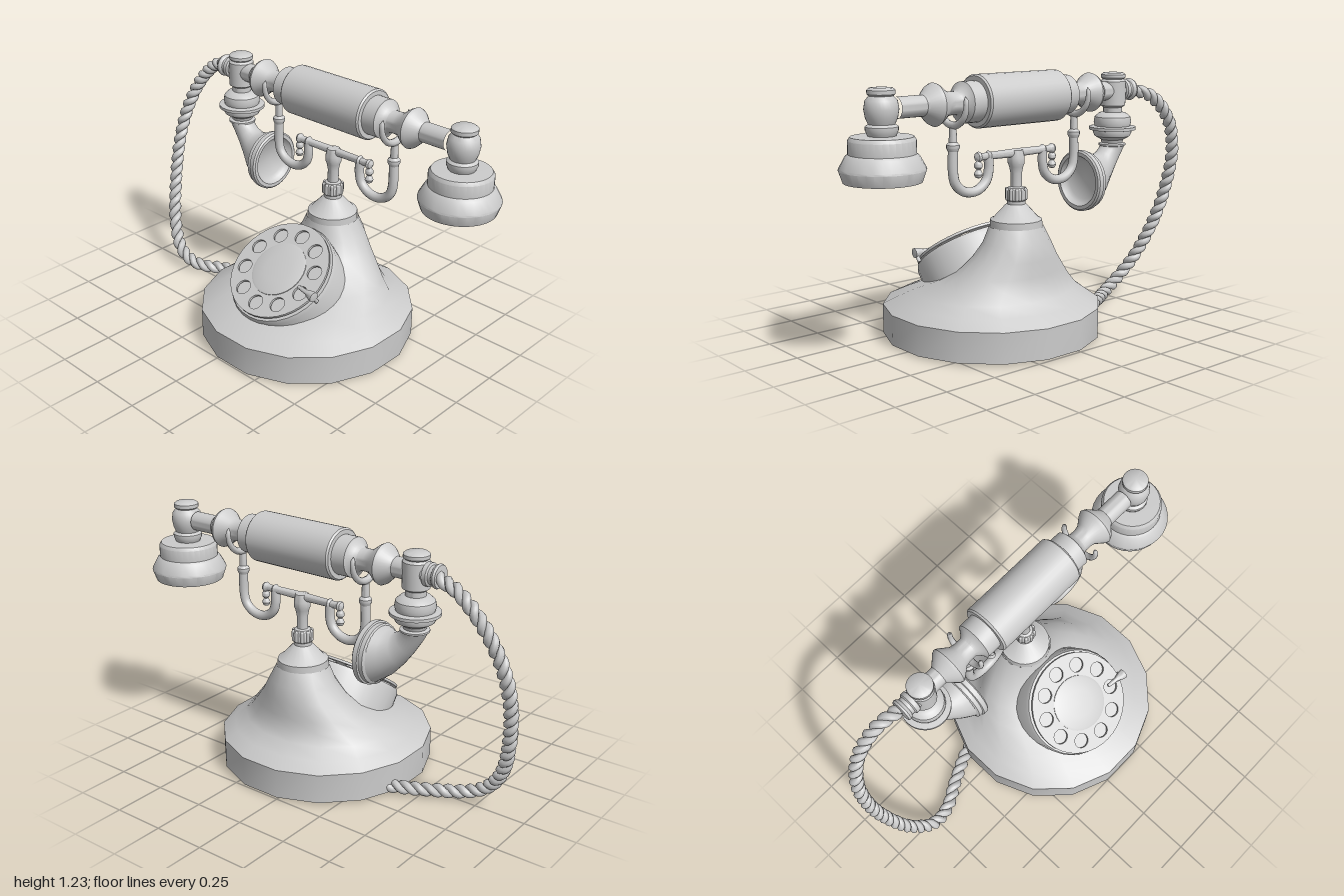
import * as THREE from 'three';
import { toCreasedNormals } from 'three/addons/utils/BufferGeometryUtils.js';

const V = (x, y, z) => new THREE.Vector3(x, y, z);
const mat = new THREE.MeshStandardMaterial({ color: 0xcccccc });
const CX = 0.1, CZ = -0.175, AXIS_Y = 1.115; // column centre and handset height

function add(parent, name, geo, x = 0, y = 0, z = 0) {
  const m = new THREE.Mesh(geo, mat);
  m.name = name;
  m.position.set(x, y, z);
  parent.add(m);
  return m;
}

// Turned part from [radius, height] pairs, with crisp steps
const turned = (pts, seg = 32) =>
  toCreasedNormals(new THREE.LatheGeometry(pts.map(p => new THREE.Vector2(p[0], p[1])), seg), 0.6);

// Same, lying along x
const turnedX = (pts, seg) => turned(pts, seg).rotateZ(-Math.PI / 2);

// Skin over closed rings of equal point count
function loft(rings) {
  const n = rings[0].length, idx = [];
  for (let i = 0; i < rings.length - 1; i++)
    for (let j = 0; j < n; j++) {
      const a = i * n + j, b = i * n + (j + 1) % n;
      idx.push(a, b, a + n, b, b + n, a + n);
    }
  const g = new THREE.BufferGeometry().setFromPoints(rings.flat());
  g.setIndex(idx);
  g.computeVertexNormals();
  return g;
}

const ring = (n, fn, start = 0) =>
  Array.from({ length: n }, (_, j) => fn(start + j / n * Math.PI * 2));

function buildBase(g) {
  const n = 16, half = Math.PI / n, k = 1 / Math.cos(half);
  add(g, 'baseDrum', toCreasedNormals(new THREE.CylinderGeometry(0.5 * k, 0.5 * k, 0.14, n).rotateY(half), 0.6), CX, 0.08, 0);
  // [height, half width, front z, back z]
  const rows = [[0.15, 0.5, 0.5, -0.5], [0.19, 0.445, 0.41, -0.435], [0.23, 0.39, 0.31, -0.37], [0.28, 0.325, 0.16, -0.345],
    [0.33, 0.27, 0.06, -0.335], [0.4, 0.205, 0, -0.331], [0.47, 0.16, -0.04, -0.32], [0.54, 0.122, -0.055, -0.295]];
  add(g, 'bellBody', loft(rows.map(([y, w, f, b]) => ring(n,
    a => V(CX + w * k * Math.sin(a), y, (f + b) / 2 + (f - b) / 2 * k * Math.cos(a)), half))));
}

function buildDial(g) {
  const dial = new THREE.Group();
  dial.name = 'dial';
  dial.position.set(CX, 0.37, 0.175);
  dial.rotation.x = -0.955;
  g.add(dial);
  const upZ = geo => geo.rotateX(Math.PI / 2);
  add(dial, 'dialHousing', upZ(turned([[0.26, -0.25], [0.265, -0.02], [0.258, 0], [0, 0]])));
  // Finger wheel with ten holes
  const plate = new THREE.Shape().absarc(0, 0, 0.25, 0, Math.PI * 2);
  for (let i = 0; i < 10; i++) {
    const a = i * Math.PI / 5;
    plate.holes.push(new THREE.Path().absarc(0.188 * Math.sin(a), 0.188 * Math.cos(a), 0.036, 0, Math.PI * 2, true));
  }
  add(dial, 'fingerWheel', toCreasedNormals(
    new THREE.ExtrudeGeometry(plate, { depth: 0.012, bevelEnabled: false, curveSegments: 20 }), 0.6), 0, 0, 0.012);
  add(dial, 'dialCentre', upZ(turned([[0.137, 0], [0.137, 0.028], [0.125, 0.032], [0.07, 0.038], [0, 0.04]])));
  const stop = add(dial, 'fingerStop', turnedX([[0, -0.06], [0.009, -0.055], [0.012, 0], [0.022, 0.03], [0.024, 0.05], [0, 0.055]], 12), 0.22, -0.045, 0.042);
  stop.rotation.z = -0.12;
  add(dial, 'fingerStopPost', upZ(new THREE.CylinderGeometry(0.01, 0.01, 0.05, 10)), 0.26, -0.05, 0.02);
}

function buildCradle(g) {
  add(g, 'column', turned([[0.12, 0.53], [0.118, 0.57], [0.105, 0.575], [0.05, 0.635], [0.042, 0.64], [0.042, 0.655], [0.046, 0.66],
    [0.046, 0.7], [0.038, 0.715], [0.026, 0.72], [0.026, 0.78], [0.032, 0.81], [0.038, 0.825], [0.038, 0.85], [0.03, 0.885], [0, 0.89]], 24), CX, 0, CZ);
  // Raised flutes around the column
  for (let i = 0; i < 10; i++) {
    const a = i * Math.PI / 5;
    add(g, 'columnFlute', new THREE.CapsuleGeometry(0.009, 0.04, 3, 8), CX + 0.043 * Math.sin(a), 0.685, CZ + 0.043 * Math.cos(a));
  }
  const side = [[0.02, -0.225], [0.024, -0.215], [0.016, -0.2], [0.016, -0.17], [0.024, -0.16], [0.017, -0.145], [0.019, -0.03]];
  add(g, 'crossbar', turnedX([[0, -0.235], ...side, ...side.map(([r, x]) => [r, -x]).reverse(), [0, 0.235]], 16), CX, 0.872, CZ);

  for (const s of [-1, 1]) {
    const X = d => CX + s * d;
    // Hanging finial below each end of the bar
    add(g, 'finial', turned([[0, 0.778], [0.014, 0.783], [0.02, 0.797], [0.014, 0.811], [0.009, 0.817],
      [0.018, 0.827], [0.018, 0.842], [0.011, 0.852], [0.011, 0.872]], 14), X(0.218), 0, CZ);
    // U-shaped arm
    const arm = [V(X(0.16), 0.865, CZ), V(X(0.16), 0.81, CZ)];
    for (let i = 1; i <= 6; i++) {
      const a = i * Math.PI / 6;
      arm.push(V(X(0.258 - 0.098 * Math.cos(a)), 0.81 - 0.088 * Math.sin(a), CZ));
    }
    arm.push(V(X(0.356), 0.93, CZ));
    add(g, 'cradleArm', new THREE.TubeGeometry(new THREE.CatmullRomCurve3(arm), 40, 0.022, 12));
    add(g, 'cradlePost', turned([[0.022, 0.91], [0.029, 0.925], [0.029, 0.938], [0.018, 0.95], [0.016, 1.01], [0, 1.03]], 14), X(0.356), 0, CZ);
    // Tapering fork that holds the handset
    const rings = [];
    for (let i = 0; i <= 20; i++) {
      const t = i / 10 - 1, a = t * 1.95, r = i % 20 ? 0.018 - 0.008 * Math.abs(t) : 0.001;
      rings.push(ring(8, b => {
        const q = 0.094 + r * Math.cos(b);
        return V(X(0.356) - r * Math.sin(b), AXIS_Y - q * Math.cos(a), CZ + q * Math.sin(a));
      }));
    }
    add(g, 'cradleFork', loft(rings)).material = forkMat;
  }
}
const forkMat = new THREE.MeshStandardMaterial({ color: 0xcccccc, side: THREE.DoubleSide });

function buildHandset(g) {
  // Symmetric grip profile: [radius, distance from the middle]
  const half = [[0.045, 0.645], [0.045, 0.515], [0.052, 0.505], [0.085, 0.47], [0.092, 0.455], [0.085, 0.44], [0.055, 0.4], [0.05, 0.375],
    [0.05, 0.34], [0.06, 0.325], [0.08, 0.31], [0.09, 0.305], [0.09, 0.236], [0.11, 0.236], [0.117, 0.228]];
  add(g, 'grip', turnedX([...half.map(([r, d]) => [r, -d]), ...half.slice().reverse()]), CX, AXIS_Y, CZ);

  // Earpiece side
  add(g, 'earJoint', turned([[0.055, 1], [0.062, 1.015], [0.068, 1.03], [0.068, 1.045], [0.055, 1.055], [0.066, 1.08], [0.072, 1.115],
    [0.066, 1.15], [0.05, 1.168], [0.058, 1.175], [0.058, 1.192], [0.048, 1.2], [0, 1.205]]), 0.815, 0, CZ);
  add(g, 'earpiece', turned([[0, 0.852], [0.06, 0.848], [0.105, 0.84], [0.11, 0.85], [0.125, 0.85], [0.135, 0.82], [0.163, 0.82], [0.18, 0.87],
    [0.178, 0.878], [0.152, 0.925], [0.14, 0.935], [0.14, 0.99], [0.13, 1.005], [0, 1.01]]), 0.815, 0, CZ);

  // Mouthpiece side
  add(g, 'mouthJoint', turned([[0.04, 0.84], [0.065, 0.852], [0.065, 0.86], [0.05, 0.865], [0.055, 0.88], [0.085, 0.897], [0.092, 0.912], [0.092, 0.925],
    [0.112, 0.928], [0.112, 0.942], [0.085, 0.946], [0.09, 0.965], [0.085, 0.99], [0.065, 1.008], [0.045, 1.012], [0.045, 1.035], [0.06, 1.045],
    [0.06, 1.16], [0.05, 1.17], [0.058, 1.177], [0.058, 1.192], [0.048, 1.2], [0, 1.205]]), -0.515, 0, CZ);
  // Flaring elbow: lower and upper outline of each section
  const horn = [[-0.575, 0.85, -0.455, 0.85], [-0.55, 0.805, -0.448, 0.843], [-0.51, 0.745, -0.43, 0.828], [-0.46, 0.68, -0.405, 0.816],
    [-0.4, 0.617, -0.372, 0.82], [-0.335, 0.572, -0.335, 0.832]];
  add(g, 'mouthHorn', loft(horn.map(([x0, y0, x1, y1]) => {
    const dx = (x1 - x0) / 2, dy = (y1 - y0) / 2, r = Math.hypot(dx, dy);
    return ring(28, a => V(x0 + dx + dx * Math.cos(a), y0 + dy + dy * Math.cos(a), CZ + r * Math.sin(a)));
  })));
  add(g, 'mouthRim', turnedX([[0.125, -0.345], [0.137, -0.338], [0.137, -0.318], [0.145, -0.315], [0.145, -0.292], [0.137, -0.285],
    [0.12, -0.285], [0.108, -0.305], [0.09, -0.318], [0, -0.325]]), 0, 0.7, CZ);
  add(g, 'cordSocket', turnedX([[0, -0.64], [0.05, -0.635], [0.054, -0.625], [0.05, -0.615], [0.043, -0.61], [0.043, -0.595],
    [0.052, -0.59], [0.052, -0.57], [0.043, -0.565], [0.043, -0.5]], 20), 0, AXIS_Y, CZ);
}

// Two strands twisted around a common path
function buildCord(g) {
  const path = new THREE.CatmullRomCurve3([V(-0.61, 1.115, -0.18), V(-0.74, 1.08, -0.21), V(-0.87, 0.96, -0.215), V(-0.945, 0.8, -0.185),
    V(-0.967, 0.63, -0.14), V(-0.945, 0.42, -0.08), V(-0.875, 0.21, -0.005), V(-0.78, 0.09, 0.035), V(-0.68, 0.042, 0.02),
    V(-0.55, 0.036, -0.05), V(-0.4, 0.035, -0.12), V(-0.27, 0.034, -0.15)]);
  const N = 240, turns = 18;
  const frames = path.computeFrenetFrames(N, false), pts = path.getSpacedPoints(N);
  for (const phase of [0, Math.PI]) {
    const strand = pts.map((p, i) => {
      const a = phase + i / N * turns * Math.PI * 2;
      return p.clone().addScaledVector(frames.normals[i], 0.015 * Math.cos(a)).addScaledVector(frames.binormals[i], 0.015 * Math.sin(a));
    });
    add(g, 'cordStrand', new THREE.TubeGeometry(new THREE.CatmullRomCurve3(strand), 360, 0.0185, 7));
  }
}

export function createModel() {
  const model = new THREE.Group();
  model.name = 'telephone';
  const parts = { base: buildBase, dialUnit: buildDial, cradle: buildCradle, handset: buildHandset, cord: buildCord };
  for (const [name, build] of Object.entries(parts)) {
    const g = new THREE.Group();
    g.name = name;
    build(g);
    model.add(g);
  }
  return model;
}
